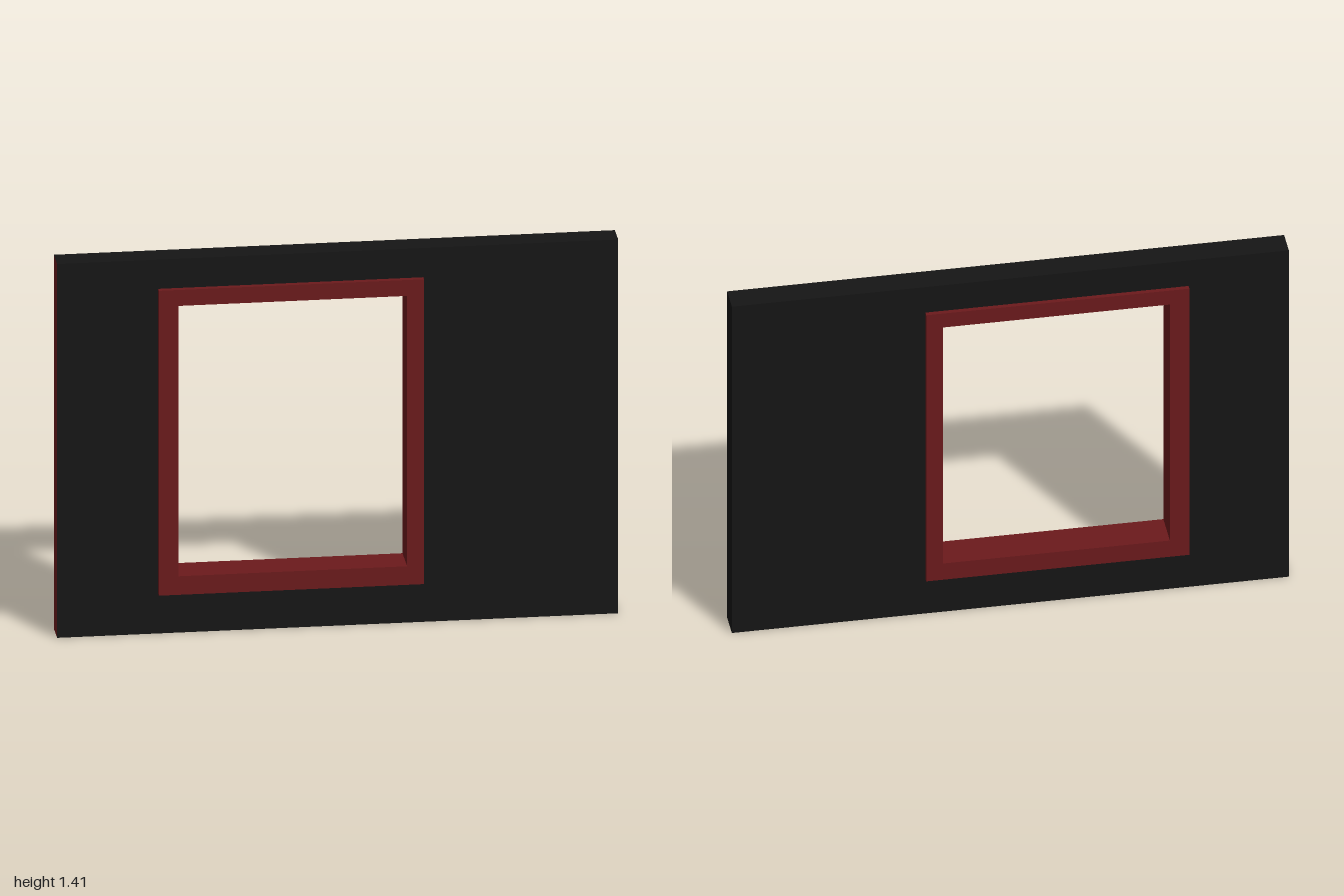
import * as THREE from 'three';

// Rectangle outline from two corners
const rect = (Type, x0, y0, x1, y1) => new Type([
  new THREE.Vector2(x0, y0), new THREE.Vector2(x1, y0),
  new THREE.Vector2(x1, y1), new THREE.Vector2(x0, y1),
]);

export function createModel() {
  const group = new THREE.Group();
  const black = new THREE.MeshStandardMaterial({ color: 0x151515, side: THREE.DoubleSide });
  const red = new THREE.MeshStandardMaterial({ color: 0x6b1a1c, side: THREE.DoubleSide });
  const height = 1.41, zFront = 0.046, zBack = -0.05;
  const depth = zFront - zBack, zMid = (zFront + zBack) / 2;

  const add = (name, geometry, material, x, y, z, rx = 0, ry = 0) => {
    const mesh = new THREE.Mesh(geometry, material);
    mesh.name = name;
    mesh.position.set(x, y, z);
    mesh.rotation.set(rx, ry, 0);
    group.add(mesh);
  };

  // Wall faces with the window opening, symmetric pair front and back
  const face = rect(THREE.Shape, -1, 0, 1, height);
  face.holes.push(rect(THREE.Path, -0.62, 0.17, 0.285, 1.28));
  const faceGeometry = new THREE.ShapeGeometry(face);
  add('wallFront', faceGeometry, black, 0, 0, zFront);
  const backGeometry = faceGeometry.clone().scale(-1, 1, 1).rotateY(Math.PI);
  const index = backGeometry.index.array;
  for (let i = 0; i < index.length; i += 3) [index[i], index[i + 1]] = [index[i + 1], index[i]];
  backGeometry.computeVertexNormals();
  add('wallBack', backGeometry, black, 0, 0, zBack);

  // Wall edges: top and both ends; the underside is open
  add('wallTop', new THREE.PlaneGeometry(2, depth), black, 0, height, zMid, -Math.PI / 2);
  const end = new THREE.PlaneGeometry(depth, height);
  add('wallLeftEnd', end, black, 1, height / 2, zMid, 0, Math.PI / 2);
  add('wallRightEnd', end, red, -1, height / 2, zMid, 0, -Math.PI / 2);

  // Window frame, standing slightly proud of both wall faces
  const frame = rect(THREE.Shape, -0.64, 0.15, 0.305, 1.3);
  frame.holes.push(rect(THREE.Path, -0.57, 0.22, 0.245, 1.24));
  add('windowFrame', new THREE.ExtrudeGeometry(frame, { depth: 0.134, bevelEnabled: false }),
    red, 0, 0, -0.067);

  return group;
}
